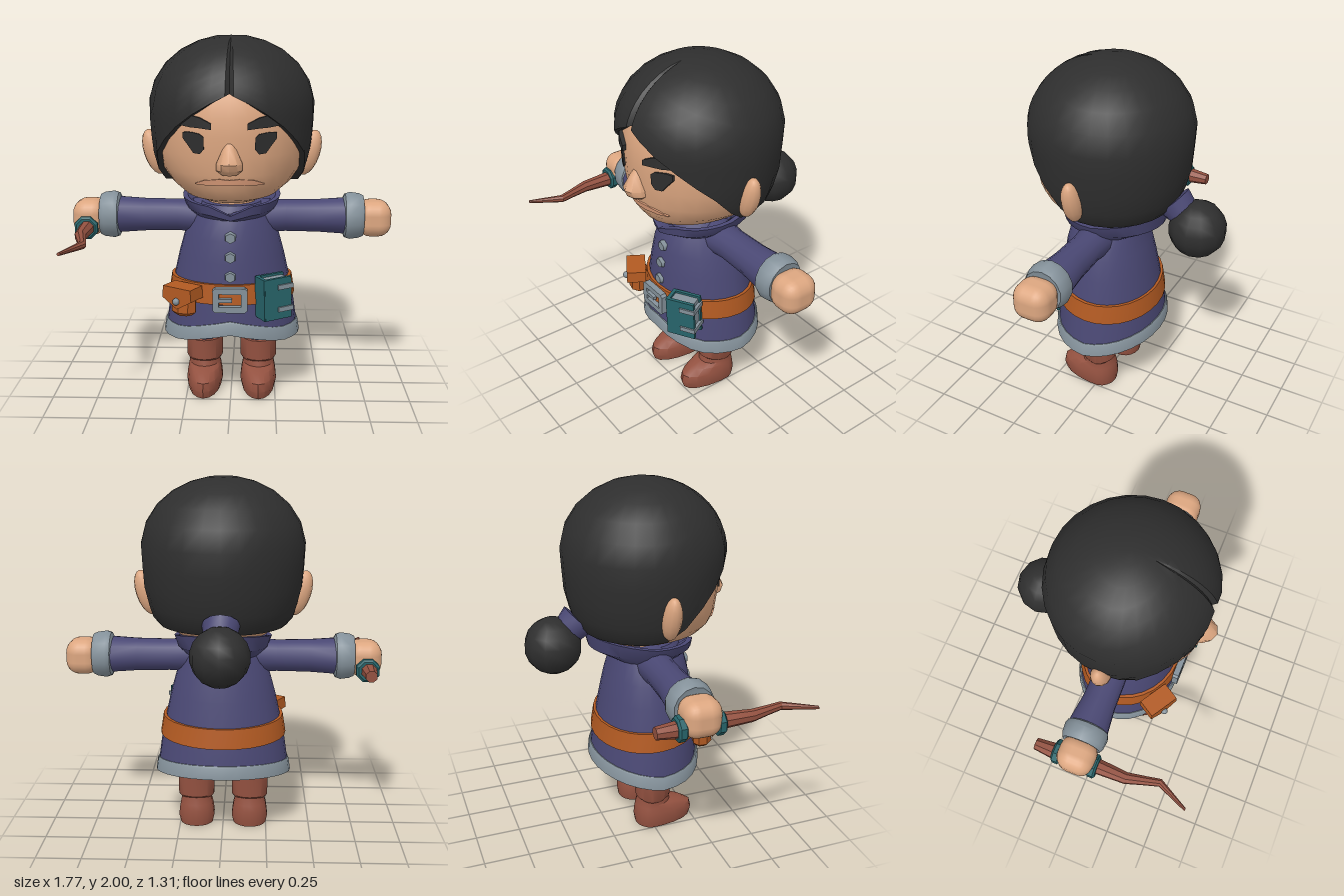
import * as THREE from 'three';
import { toCreasedNormals } from 'three/addons/utils/BufferGeometryUtils.js';
import { RoundedBoxGeometry } from 'three/addons/geometries/RoundedBoxGeometry.js';

function mat(name, color) {
  const m = new THREE.MeshStandardMaterial({ color });
  m.name = name;
  return m;
}
const M = {
  hair: mat('black hair', 0x2e2e2e),
  skin: mat('skin', 0xdca680),
  lip: mat('lip', 0xe3a27e),
  cloth: mat('indigo cloth', 0x4a4874),
  trim: mat('grey trim', 0x84919a),
  belt: mat('tan leather', 0xb25a22),
  boot: mat('brown leather', 0x935140),
  teal: mat('teal', 0x27646a),
};

// Joins rings of points into a surface, with optional end caps, facing outward
function loft(rings, caps = true, crease = 0.65) {
  const n = rings[0].length, pos = rings.flat(2), idx = [];
  for (let r = 0; r < rings.length - 1; r++)
    for (let i = 0; i < n; i++) {
      const a = r * n + i, b = r * n + (i + 1) % n;
      idx.push(a, a + n, b, b, a + n, b + n);
    }
  if (caps) [0, rings.length - 1].forEach((r, end) => {
    const c = pos.length / 3;
    for (let k = 0; k < 3; k++) pos.push(rings[r].reduce((s, p) => s + p[k], 0) / n);
    for (let i = 0; i < n; i++) {
      const a = r * n + i, b = r * n + (i + 1) % n;
      if (end) idx.push(a, c, b); else idx.push(a, b, c);
    }
  });
  const v = i => new THREE.Vector3().fromArray(pos, i * 3);
  let volume = 0;
  for (let i = 0; i < idx.length; i += 3) volume += v(idx[i]).dot(v(idx[i + 1]).cross(v(idx[i + 2])));
  if (volume < 0) idx.reverse();
  const g = new THREE.BufferGeometry();
  g.setAttribute('position', new THREE.Float32BufferAttribute(pos, 3));
  g.setIndex(idx);
  return toCreasedNormals(g, crease);
}

// Level ring with separate front and back depth; lift(angle) raises it, angle 0 is the front
function ring([y, rx, zf, zb], lift = () => 0, n = 28) {
  return Array.from({ length: n }, (_, i) => {
    let a = i / n * Math.PI * 2;
    if (a > Math.PI) a -= Math.PI * 2;
    const c = Math.cos(a);
    return [Math.sin(a) * rx, y + lift(a), c * (c > 0 ? zf : zb)];
  });
}
// Ring across the x axis (arms) and across the z axis (wand)
const armRing = (x, ry, rz) => Array.from({ length: 14 }, (_, i) => {
  const a = i / 14 * Math.PI * 2;
  return [x, 1.01 + Math.cos(a) * ry, 0.015 + Math.sin(a) * rz];
});
const wandRing = ([z, x, r]) => Array.from({ length: 8 }, (_, i) => {
  const a = (i + 0.5) / 8 * Math.PI * 2;
  return [x + Math.cos(a) * r, 0.955 + Math.sin(a) * r, z];
});
// Linear reading of a table sorted by its first column
function read(table, t, col = 1) {
  if (t <= table[0][0]) return table[0][col];
  for (let i = 1; i < table.length; i++) {
    const p = table[i - 1], q = table[i];
    if (t <= q[0]) return p[col] + (q[col] - p[col]) * (t - p[0]) / (q[0] - p[0]);
  }
  return table[table.length - 1][col];
}

const HEAD = [[1.13, 0.17, 0.26, 0.2], [1.16, 0.255, 0.345, 0.28], [1.22, 0.325, 0.39, 0.34], [1.3, 0.38, 0.41, 0.37],
  [1.4, 0.408, 0.42, 0.38], [1.5, 0.415, 0.425, 0.38], [1.6, 0.41, 0.42, 0.38], [1.72, 0.37, 0.385, 0.36], [1.85, 0.26, 0.26, 0.26]];
const faceZ = (x, y) => read(HEAD, y, 2) * Math.sqrt(1 - (x / read(HEAD, y, 1)) ** 2);
// Thin feature following the face; stations are [x, bottom, top]
const faceStrip = (stations, off, side = 1) => loft(stations.map(([x, b, t]) => [
  [x * side, b, faceZ(x, b) - 0.01], [x * side, t, faceZ(x, t) - 0.01],
  [x * side, t, faceZ(x, t) + off], [x * side, b, faceZ(x, b) + off]]));

// Hair cap: hairline height by angle from the front, and radius by height
const HAIRLINE = [[0, 1.72], [0.3, 1.655], [0.6, 1.57], [0.87, 1.48], [1.13, 1.39], [1.36, 1.28], [1.57, 1.215], [1.9, 1.2], [3.2, 1.2]];
const HAIR_R = [[1.19, 0.345], [1.25, 0.395], [1.4, 0.435], [1.62, 0.45]];
function hairGeometry() {
  const angles = [-0.05, 0, 0.05];
  for (let i = 1; i < 28; i++) angles.push(i / 28 * Math.PI * 2);
  const point = (a, t, inset) => {
    if (a > Math.PI) a -= Math.PI * 2;
    const y = 2 - (2 - read(HAIRLINE, Math.abs(a))) * t;
    let r = y > 1.62 ? 0.45 * Math.sqrt(1 - ((y - 1.62) / 0.38) ** 2) : read(HAIR_R, y);
    if (a === 0 && t > 0.05) r -= 0.02; // parting groove
    return [Math.sin(a) * (r - inset), y, Math.cos(a) * (r - inset) * 0.99 + 0.015];
  };
  const rings = [0.008, 0.04, 0.1, 0.19, 0.31, 0.45, 0.6, 0.74, 0.87, 0.95, 1].map(t => angles.map(a => point(a, t, 0)));
  rings.push(angles.map(a => point(a, 1, 0.06)));
  return loft(rings);
}

export function createModel() {
  const root = new THREE.Group();
  root.name = 'adventurer';
  function add(name, geo, material, p = [0, 0, 0], r = [0, 0, 0], parent = root) {
    const m = new THREE.Mesh(geo, material);
    m.name = name;
    m.position.set(...p);
    m.rotation.set(...r);
    parent.add(m);
    return m;
  }
  const box = (w, h, d) => new THREE.BoxGeometry(w, h, d);
  const rows = (list, lift, n) => list.map(p => ring(p, lift, n));

  // Head
  add('head', loft(rows(HEAD)), M.skin);
  add('neck', new THREE.CylinderGeometry(0.13, 0.14, 0.2, 16), M.skin, [0, 1.08, 0.02]);
  add('hair', hairGeometry(), M.hair);
  add('nose', loft(rows([[1.31, 0.04, 0.04, 0.05], [1.335, 0.07, 0.07, 0.05], [1.37, 0.07, 0.085, 0.05],
    [1.44, 0.038, 0.045, 0.05], [1.48, 0.015, 0.012, 0.05]], undefined, 10)), M.skin, [0, 0, 0.405]);
  add('mouth', faceStrip([[-0.18, 1.25, 1.255], [-0.13, 1.25, 1.277], [-0.05, 1.252, 1.287], [0, 1.252, 1.282],
    [0.05, 1.252, 1.287], [0.13, 1.25, 1.277], [0.18, 1.25, 1.255]], 0.009), M.lip);
  for (const s of [1, -1]) {
    add('eye', faceStrip([[0.13, 1.44, 1.5], [0.15, 1.415, 1.517], [0.185, 1.418, 1.523], [0.212, 1.455, 1.525],
      [0.24, 1.49, 1.52]], 0.009, s), M.hair);
    add('eyebrow', faceStrip([[0.092, 1.542, 1.572], [0.15, 1.548, 1.6], [0.2, 1.55, 1.61], [0.24, 1.555, 1.588],
      [0.275, 1.555, 1.562]], 0.022, s), M.hair);
    const ear = add('ear', new THREE.SphereGeometry(1, 12, 10), M.skin, [0.425 * s, 1.365, 0.015], [0, 0, -0.3 * s]);
    ear.scale.set(0.06, 0.13, 0.052);
  }
  add('bun', new THREE.SphereGeometry(0.157, 12, 9), M.hair, [0, 1.13, -0.5]);
  add('hairTie', toCreasedNormals(new THREE.CylinderGeometry(0.1, 0.085, 0.08, 12), 0.6), M.cloth, [0, 1.235, -0.385], [0.8, 0, 0]);

  // Robe with a notched, dipping hem
  const hemLift = a => 0.06 * Math.max(0, 1 - Math.abs(a) / 0.8) + 0.015 * Math.max(0, Math.cos(a)) + 0.045 * Math.max(0, -Math.cos(a));
  add('robe', loft([
    ...rows([[1.1, 0.17, 0.2, 0.16], [1.03, 0.215, 0.24, 0.17], [0.92, 0.262, 0.268, 0.2], [0.8, 0.295, 0.285, 0.225],
      [0.63, 0.333, 0.3, 0.257], [0.52, 0.353, 0.308, 0.275]]),
    ...rows([[0.38, 0.373, 0.315, 0.288], [0.37, 0.34, 0.285, 0.26], [0.43, 0.3, 0.25, 0.23]], hemLift)]), M.cloth);
  add('hem', loft(rows([[0.41, 0.372, 0.318, 0.289], [0.4, 0.378, 0.325, 0.296], [0.335, 0.388, 0.328, 0.302],
    [0.335, 0.35, 0.295, 0.27], [0.41, 0.35, 0.295, 0.27], [0.41, 0.372, 0.318, 0.289]], hemLift), false), M.trim);

  // Flared collar, high at the back and notched at the throat
  const collarLift = a => 0.06 * Math.max(0, -Math.cos(a)) - 0.02 * Math.max(0, Math.cos(a)) - 0.045 * Math.max(0, 1 - Math.abs(a) / 0.4);
  const low = a => 0.5 * collarLift(a);
  add('collar', loft([ring([1.02, 0.2, 0.225, 0.165]), ring([1.07, 0.25, 0.285, 0.3], low), ring([1.13, 0.272, 0.292, 0.322], collarLift),
    ring([1.13, 0.245, 0.265, 0.29], collarLift), ring([1.06, 0.17, 0.2, 0.15]), ring([1.02, 0.2, 0.225, 0.165])], false), M.cloth);
  [[0.94, 0.264], [0.835, 0.28], [0.73, 0.291]].forEach(([y, z]) =>
    add('button', new THREE.CylinderGeometry(0.028, 0.036, 0.03, 6).toNonIndexed(), M.trim, [0, y, z], [Math.PI / 2, 0, 0]));

  // Belt and buckle
  const beltLift = a => 0.015 * Math.cos(a);
  add('belt', loft(rows([[0.675, 0.31, 0.28, 0.24], [0.675, 0.34, 0.31, 0.266], [0.565, 0.357, 0.32, 0.283],
    [0.565, 0.32, 0.29, 0.25], [0.675, 0.31, 0.28, 0.24]], beltLift), false), M.belt);
  const frame = new THREE.Shape([[-0.08, -0.068], [0.08, -0.068], [0.094, -0.055], [0.094, 0.055], [0.08, 0.068],
    [-0.08, 0.068], [-0.094, 0.055], [-0.094, -0.055]].map(p => new THREE.Vector2(...p)));
  frame.holes.push(new THREE.Path([[-0.06, -0.036], [-0.06, 0.036], [0.06, 0.036], [0.06, -0.036]].map(p => new THREE.Vector2(...p))));
  add('buckle', new THREE.ExtrudeGeometry(frame, { depth: 0.035, bevelEnabled: false }), M.trim, [0, 0.613, 0.31]);
  add('bucklePin', box(0.08, 0.02, 0.02), M.trim, [-0.03, 0.613, 0.335]);

  // Clasped book on the left hip
  const book = new THREE.Group();
  book.name = 'book';
  book.position.set(0.235, 0.625, 0.29);
  book.rotation.set(0, 0.5, 0.03);
  root.add(book);
  for (const z of [-0.042, 0.042]) add('bookCover', box(0.16, 0.23, 0.018), M.teal, [0, 0, z], [0, 0, 0], book);
  add('bookSpine', box(0.02, 0.23, 0.1), M.teal, [-0.076, 0, 0], [0, 0, 0], book);
  add('bookPages', box(0.14, 0.205, 0.07), M.trim, [0, 0, 0], [0, 0, 0], book);
  for (const y of [-0.06, 0.065]) add('bookClasp', box(0.09, 0.026, 0.112), M.trim, [0.042, y, 0.004], [0, 0, 0], book);

  // Belt pouch on the right hip
  const pouch = new THREE.Group();
  pouch.name = 'pouch';
  pouch.position.set(-0.25, 0.605, 0.275);
  pouch.rotation.y = -0.55;
  root.add(pouch);
  add('pouchBody', loft(rows([[-0.09, 0.05, 0.04, 0.04], [-0.07, 0.075, 0.06, 0.05], [0.05, 0.075, 0.055, 0.05]], undefined, 8), true, 0.3),
    M.belt, [0, 0, 0], [0, 0, 0], pouch);
  const flap = new THREE.Shape([[-0.09, 0.075], [-0.095, 0.01], [0, -0.045], [0.095, 0.01], [0.09, 0.075]].map(p => new THREE.Vector2(...p)));
  add('pouchFlap', new THREE.ExtrudeGeometry(flap, { depth: 0.11, bevelEnabled: false }), M.belt, [0, 0, -0.04], [0, 0, 0], pouch);
  add('pouchButton', new THREE.SphereGeometry(0.02, 8, 6), M.trim, [0, 0.0, 0.075], [0, 0, 0], pouch);

  // Arms, legs and boots
  for (const s of [1, -1]) {
    const arm = list => loft(list.map(([x, ry, rz]) => armRing(x * s, ry, rz)));
    add('sleeve', arm([[0.12, 0.1, 0.11], [0.3, 0.09, 0.09], [0.48, 0.093, 0.095], [0.65, 0.104, 0.115]]), M.cloth);
    add('cuff', arm([[0.618, 0.1, 0.1], [0.63, 0.125, 0.118], [0.655, 0.134, 0.125], [0.705, 0.127, 0.12], [0.73, 0.115, 0.108], [0.725, 0.09, 0.09]]), M.trim);
    add('hand', new RoundedBoxGeometry(0.19, 0.2, 0.205, 3, 0.075), M.skin, [0.79 * s, 1, 0.018]);
    add('trouserLeg', new THREE.CylinderGeometry(0.1, 0.082, 0.25, 14), M.cloth, [0.155 * s, 0.4, 0.02]);
    const boot = new THREE.Group();
    boot.name = 'boot';
    boot.position.x = 0.155 * s;
    root.add(boot);
    add('bootFoot', loft(rows([[0, 0.095, 0.245, 0.085], [0.045, 0.105, 0.26, 0.092], [0.09, 0.1, 0.25, 0.088],
      [0.125, 0.094, 0.19, 0.082], [0.14, 0.09, 0.12, 0.076], [0.2, 0.088, 0.105, 0.068]], undefined, 18)), M.boot, [0, 0, 0], [0, 0, 0], boot);
    add('bootCuff', loft(rows([[0.165, 0.095, 0.105, 0.065], [0.18, 0.104, 0.12, 0.08], [0.298, 0.105, 0.125, 0.085],
      [0.298, 0.08, 0.1, 0.06]], undefined, 18)), M.boot, [0, 0, 0], [0, 0, 0], boot);
  }

  // Crooked wand with two grip rings, in the right hand
  add('wand', loft([[-0.22, -0.805, 0.033], [-0.12, -0.805, 0.044], [0.15, -0.795, 0.042], [0.3, -0.797, 0.033],
    [0.4, -0.772, 0.026], [0.48, -0.752, 0.022], [0.652, -0.835, 0.009]].map(wandRing), true, 0.4), M.boot);
  for (const z of [-0.09, 0.115])
    add('wandRing', loft([[z - 0.025, -0.8, 0.055], [z - 0.015, -0.8, 0.068], [z + 0.015, -0.8, 0.068], [z + 0.025, -0.8, 0.055]]
      .map(wandRing), true, 0.4), M.teal);
  return root;
}
